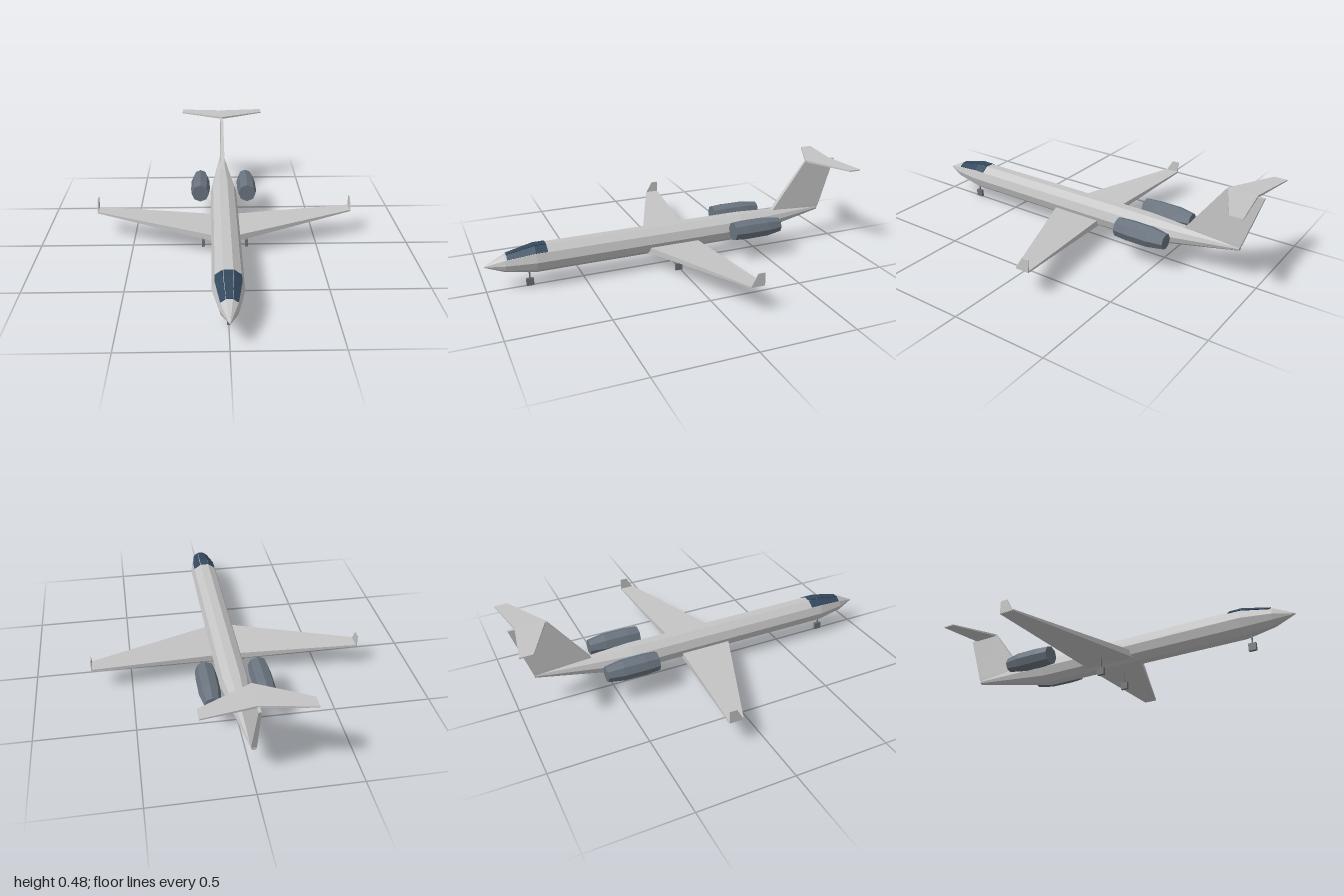
import * as THREE from 'three';

const paint = (name, color) => {
  const m = new THREE.MeshStandardMaterial({ color, flatShading: true });
  m.name = name;
  return m;
};

// Skin a list of equal-length cross-sections, cap both ends, and face outwards.
function loft(sections) {
  const n = sections[0].length;
  const tris = [];
  for (let s = 0; s < sections.length - 1; s++) {
    const a = sections[s], b = sections[s + 1];
    for (let i = 0; i < n; i++) {
      const j = (i + 1) % n;
      tris.push([a[i], a[j], b[j]], [a[i], b[j], b[i]]);
    }
  }
  const first = sections[0], last = sections[sections.length - 1];
  for (let i = 1; i < n - 1; i++) {
    tris.push([first[0], first[i + 1], first[i]], [last[0], last[i], last[i + 1]]);
  }
  let volume = 0;
  for (const [p, q, r] of tris) volume += p.dot(q.clone().cross(r));
  const positions = [];
  for (const t of tris) {
    for (const p of volume < 0 ? [t[0], t[2], t[1]] : t) positions.push(p.x, p.y, p.z);
  }
  const g = new THREE.BufferGeometry();
  g.setAttribute('position', new THREE.Float32BufferAttribute(positions, 3));
  g.computeVertexNormals();
  return g;
}

const V = (x, y, z) => new THREE.Vector3(x, y, z);

// Rectangular section across a lifting surface
const chord = (x, bottom, top, front, back) =>
  [V(x, bottom, front), V(x, top, front), V(x, top, back), V(x, bottom, back)];

// Horizontal section through an upright surface
const upright = (x, half, y, front, back) =>
  [V(x - half, y, front), V(x + half, y, front), V(x + half, y, back), V(x - half, y, back)];

// Fuselage stations: z, centre height, radius
const STATIONS = [
  [1, 0.14, 0.003], [0.9, 0.146, 0.046], [0.75, 0.15, 0.075],
  [-0.4, 0.15, 0.075], [-0.9, 0.188, 0.013],
];

// Point on the ten-sided hull; angle is measured from the top
function hullPoint(z, degrees, lift = 0) {
  let i = 0;
  while (i < STATIONS.length - 2 && z < STATIONS[i + 1][0]) i++;
  const a = STATIONS[i], b = STATIONS[i + 1];
  const t = (z - a[0]) / (b[0] - a[0]);
  const y = THREE.MathUtils.lerp(a[1], b[1], t);
  const r = THREE.MathUtils.lerp(a[2], b[2], t) + lift;
  const angle = THREE.MathUtils.degToRad(degrees);
  return V(Math.sin(angle) * r, y + Math.cos(angle) * r, z);
}

export function createModel() {
  const model = new THREE.Group();
  model.name = 'jet';
  const body = paint('light grey', 0xc4c4c4);
  const engineGrey = paint('slate grey', 0x69737e);
  const glass = paint('dark blue glass', 0x34495e);
  const gearGrey = paint('gear grey', 0x6c7075);

  const add = (name, geometry, material, parent = model) => {
    const mesh = new THREE.Mesh(geometry, material);
    mesh.name = name;
    parent.add(mesh);
    return mesh;
  };

  // Fuselage
  add('fuselage', loft(STATIONS.map(([z]) =>
    Array.from({ length: 10 }, (_, i) => hullPoint(z, 18 + i * 36)))), body);

  // Cockpit windows: thin plates over the three upper facets
  for (const [name, from, to] of [['windowRight', -54, -18], ['windowTop', -18, 18], ['windowLeft', 18, 54]]) {
    add(name, loft([0.89, 0.75, 0.69].map((z) => {
      const edge = (t, lift) => hullPoint(z, from, lift).lerp(hullPoint(z, to, lift), t);
      return [edge(0.04, 0.004), edge(0.96, 0.004), edge(0.96, -0.002), edge(0.04, -0.002)];
    })), glass);
  }

  // Paired parts
  for (const [side, s] of [['Left', 1], ['Right', -1]]) {
    add('wing' + side, loft([
      chord(0, 0.09, 0.127, 0.175, -0.118),
      chord(s * 0.7, 0.145, 0.153, -0.108, -0.182),
    ]), body);

    add('winglet' + side, loft([
      upright(s * 0.7, 0.003, 0.146, -0.108, -0.182),
      upright(s * 0.7, 0.002, 0.212, -0.145, -0.182),
    ]), body);

    add('tailplane' + side, loft([
      chord(0, 0.469, 0.481, -0.81, -0.96),
      chord(s * 0.25, 0.471, 0.477, -0.935, -1),
    ]), body);

    // Engine: eight-sided barrel tapering at the back
    const barrel = [[0, -0.575], [0.04, -0.575], [0.054, -0.49], [0.055, -0.37], [0.05, -0.3], [0, -0.3]];
    const engine = new THREE.LatheGeometry(barrel.map(([r, z]) => new THREE.Vector2(r, z)), 8);
    engine.rotateX(Math.PI / 2).translate(s * 0.135, 0.178, 0);
    add('engine' + side, engine, engineGrey);
  }

  // Swept fin
  add('fin', loft([
    upright(0, 0.013, 0.195, -0.595, -0.903),
    upright(0, 0.013, 0.215, -0.61, -0.91),
    upright(0, 0.007, 0.474, -0.805, -0.995),
  ]), body);

  // Landing gear
  for (const [name, x, z] of [['noseGear', 0, 0.78], ['mainGearLeft', 0.118, 0.01], ['mainGearRight', -0.118, 0.01]]) {
    const gear = new THREE.Group();
    gear.name = name;
    gear.position.set(x, 0, z);
    model.add(gear);
    add('wheel', new THREE.BoxGeometry(0.016, 0.038, 0.038), gearGrey, gear).position.y = 0.021;
    add('strut', new THREE.CylinderGeometry(0.004, 0.004, 0.066, 6), gearGrey, gear).position.y = 0.07;
  }

  // Rest the wheels on the ground
  model.position.y = -0.002;
  return model;
}
